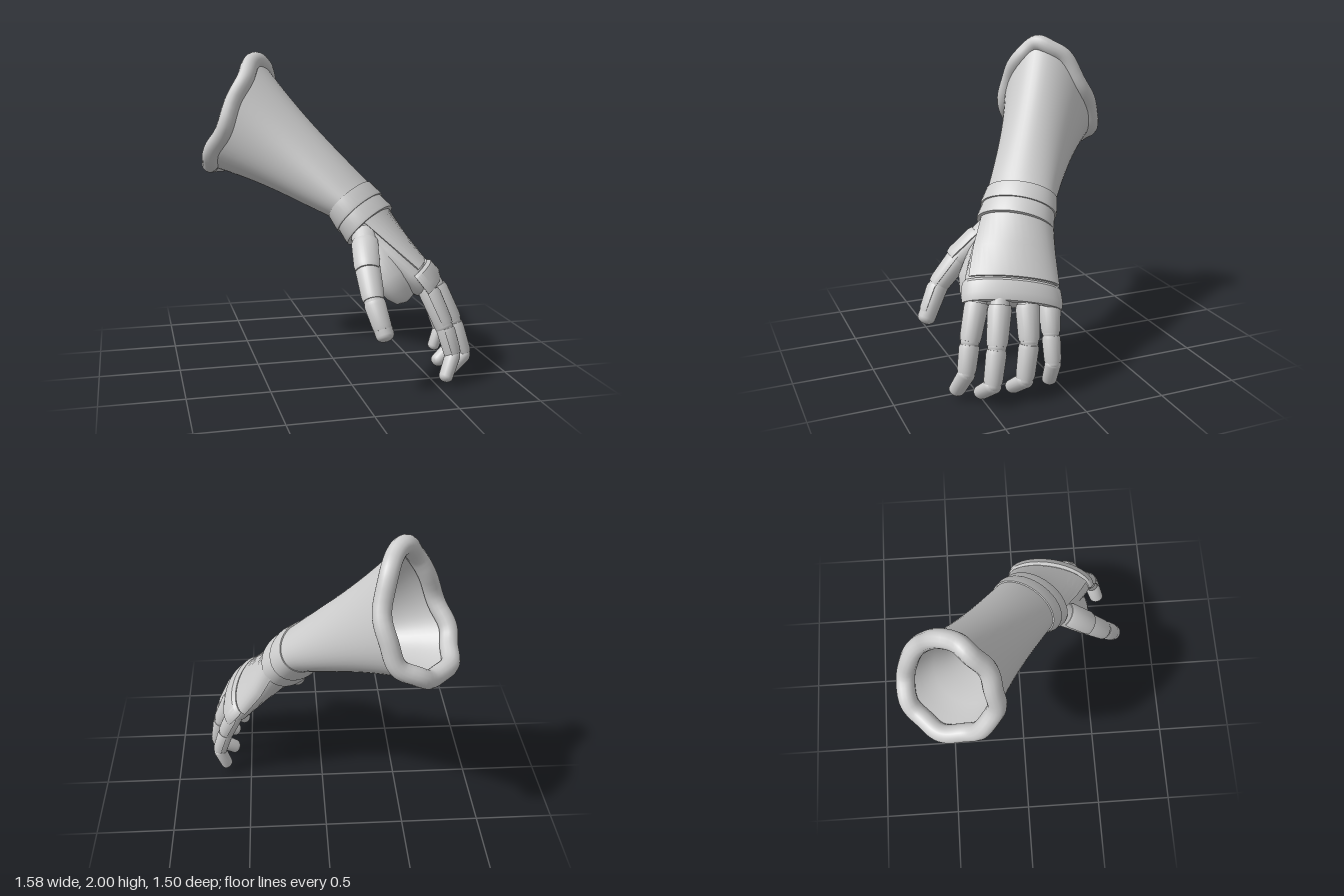
import * as THREE from 'three';
import { toCreasedNormals } from 'three/addons/utils/BufferGeometryUtils.js';

const V = (x, y, z) => new THREE.Vector3(x, y, z);
const mat = new THREE.MeshStandardMaterial({ color: 0xcccccc, side: THREE.DoubleSide });

// Skin a list of closed loops that all have the same number of points
function loft(name, loops, crease = 0.75) {
  const n = loops[0].length, pos = [], idx = [];
  loops.forEach(l => l.forEach(p => pos.push(p.x, p.y, p.z)));
  for (let i = 0; i < loops.length - 1; i++) {
    for (let j = 0; j < n; j++) {
      const a = i * n + j, b = i * n + (j + 1) % n;
      idx.push(a, b, a + n, b, b + n, a + n);
    }
  }
  let g = new THREE.BufferGeometry();
  g.setAttribute('position', new THREE.Float32BufferAttribute(pos, 3));
  g.setIndex(idx);
  g = toCreasedNormals(g, crease);
  const m = new THREE.Mesh(g, mat);
  m.name = name;
  return m;
}

// Elliptical arc around c: t = 0 points along "back", positive t turns to the thumb side
function arc(c, dir, back, a, b, t0, t1, n, closed) {
  const d = dir.clone().normalize();
  const v = back.clone().addScaledVector(d, -back.dot(d)).normalize();
  const u = d.clone().cross(v);
  return Array.from({ length: n }, (_, i) => {
    const t = t0 + (t1 - t0) * i / (closed ? n : n - 1);
    return c.clone().addScaledVector(u, a * Math.sin(t)).addScaledVector(v, b * Math.cos(t));
  });
}
const ring = (c, d, h, a, b = a, n = 32) => arc(c, d, h, a, b, 0, Math.PI * 2, n, true);

// Thick armour plate covering part of the way round; frames are [c, dir, back, a, b]
function plate(name, frames, t0, t1, th = 0.02, n = 18) {
  const outer = f => arc(...f, t0, t1, n);
  const inner = f => arc(f[0], f[1], f[2], f[3] - th, f[4] - th, t0, t1, n);
  const full = f => [...outer(f), ...inner(f).reverse()];
  const shut = f => [...inner(f), ...inner(f).reverse()];
  return loft(name, [shut(frames[0]), ...frames.map(full), shut(frames.at(-1))], 0.6);
}

// Rounded limb between two points with radii r0 and r1
function limb(name, p, q, r0, r1, back, flat = 1) {
  const d = q.clone().sub(p), len = d.length(), loops = [];
  const add = (along, r) => loops.push(ring(p.clone().addScaledVector(d, along / len), d, back, r, r * flat, 20));
  for (let i = 0; i <= 5; i++) add(-r0 * 0.7 * Math.cos(i * Math.PI / 10), r0 * Math.sin(i * Math.PI / 10));
  for (let i = 5; i >= 0; i--) add(len + r1 * 0.7 * Math.cos(i * Math.PI / 10), r1 * Math.sin(i * Math.PI / 10));
  return loft(name, loops, 1);
}

// Plate lying along a limb between two fractions of its length
function limbPlate(name, p, q, f0, f1, r0, r1, back, spread) {
  const d = q.clone().sub(p);
  const at = (f, r) => [p.clone().addScaledVector(d, f), d, back, r, r];
  const k = f1 - f0;
  return plate(name, [at(f0, r0 * 0.92), at(f0 + k * 0.12, r0), at(f0 + k * 0.88, r1), at(f1, r1 * 0.92)],
    -spread, spread, 0.016, 14);
}

export function createModel() {
  const model = new THREE.Group();
  model.name = 'gauntlet';

  // Flared cuff: drooping teardrop opening narrowing to an oval wrist
  const rimC = V(-0.54, 1.59, -0.45), rimU = V(-0.6, 0, 0.8), rimV = V(0.125, 0.355, 0.12), droop = V(0.05, -0.08, 0.04);
  const rimPoint = (t, k = 1) => rimC.clone()
    .addScaledVector(rimU, 0.3 * k * Math.sin(t) * (1 - 0.14 * Math.cos(t)))
    .addScaledVector(rimV, k * Math.cos(t))
    .addScaledVector(droop, Math.sin(t) ** 2);
  const wristC = V(0.11, 1.065, 0.032), wristD = V(0.58, -0.65, 0.47), wristH = V(0.45, 0.83, 0.34);
  const N = 48, wrist = ring(wristC, wristD, wristH, 0.222, 0.152, N);
  const cuff = [];
  for (let i = 0; i <= 14; i++) {
    const s = i / 14, mid = rimC.clone().lerp(wristC, s);
    cuff.push(wrist.map((w, j) => rimPoint(j / N * Math.PI * 2).lerp(w, s).lerp(mid, 0.075 * Math.sin(Math.PI * s))));
  }
  cuff.push(ring(wristC, wristD, wristH, 0.19, 0.13, N));
  model.add(loft('cuff', cuff));

  // Soft, uneven rolled collar round the opening
  const back = V(-0.66, 0.56, -0.5), path = [];
  for (let i = 0; i < 54; i++) {
    const t = i / 54 * Math.PI * 2;
    path.push(rimPoint(t, 0.975 + 0.012 * Math.sin(9 * t + 1)).addScaledVector(back, 0.015 + 0.01 * Math.sin(7 * t)));
  }
  const roll = new THREE.Mesh(new THREE.TubeGeometry(new THREE.CatmullRomCurve3(path, true), 140, 0.057, 14, true), mat);
  roll.name = 'collarRoll';
  model.add(roll);

  // Cloth lining funnelling down inside the cuff: depth and size of each ring
  const lining = [[0, 0.93], [0.1, 0.84], [0.2, 0.73], [0.3, 0.6], [0.42, 0.5], [0.55, 0.36], [0.56, 0]].map(([s, k]) => {
    const shift = wristC.clone().sub(rimC).multiplyScalar(s);
    return wrist.map((_, j) => rimPoint(j / N * Math.PI * 2).lerp(rimC, 1 - k).add(shift));
  });
  model.add(loft('lining', lining));

  // Overlapping wrist bands
  const bandEnd = V(0.215, 0.915, 0.12);
  for (let i = 0; i < 2; i++) {
    const at = (f, a, b) => ring(wristC.clone().lerp(bandEnd, (i + f) / 2), wristD, wristH, a, b, 40);
    const a = 0.23 + i * 0.002, b = 0.16;
    model.add(loft('wristBand', [at(-0.08, a - 0.03, b - 0.03), at(-0.08, a, b), at(0.85, a + 0.015, b + 0.012),
      at(1, a + 0.013, b + 0.01), at(1, a - 0.03, b - 0.03)], 0.5));
  }

  // Glove body from wrist to knuckles
  const handD = V(0.6, -0.75, 0.28), handH = V(0.75, 0.65, 0.14);
  const hand = [
    [V(0.1, 1.06, 0.03), wristD, wristH, 0, 0],
    [V(0.1, 1.06, 0.03), wristD, wristH, 0.2, 0.14],
    [V(0.2, 0.93, 0.1), wristD, wristH, 0.22, 0.14],
    [V(0.32, 0.78, 0.18), V(0.6, -0.7, 0.3), V(0.68, 0.7, 0.24), 0.25, 0.12],
    [V(0.45, 0.635, 0.24), handD, handH, 0.28, 0.105],
    [V(0.5, 0.56, 0.26), handD, handH, 0.28, 0.095],
    [V(0.52, 0.525, 0.265), handD, handH, 0.25, 0.06],
    [V(0.525, 0.515, 0.265), handD, handH, 0, 0]];
  model.add(loft('glove', hand.map(f => ring(...f)), 1));

  // Web of the palm between thumb and first finger
  const webD = V(0.45, -0.8, 0.3), webH = V(0.4, 0.3, 0.87);
  const web = [[0.15, 0.93, 0.18, 0.09, 0.1], [0.23, 0.77, 0.3, 0.14, 0.11], [0.29, 0.65, 0.385, 0.15, 0.095],
    [0.335, 0.56, 0.42, 0.125, 0.072], [0.36, 0.505, 0.43, 0.075, 0.045], [0.368, 0.485, 0.43, 0, 0]];
  model.add(loft('palmWeb', web.map(([x, y, z, a, b]) => ring(V(x, y, z), webD, webH, a, b)), 1));

  // Back plate and knuckle guard
  const grow = (f, k) => [f[0], f[1], f[2], f[3] + k, f[4] + k];
  model.add(plate('backPlate', hand.slice(2, 5).map(f => grow(f, 0.016)), -1.75, 1.1));
  const guard = (x, y, z, a, b) => [V(x, y, z), handD, handH, a, b];
  model.add(plate('knuckleGuard', [guard(0.458, 0.625, 0.242, 0.285, 0.12), guard(0.47, 0.61, 0.246, 0.3, 0.14),
    guard(0.515, 0.55, 0.262, 0.308, 0.146), guard(0.54, 0.517, 0.272, 0.3, 0.125)], -1.55, 1.5, 0.035, 28));

  // Four curled fingers: knuckle, middle joint, end joint, tip
  const fingers = {
    index: [V(0.475, 0.58, 0.465), V(0.565, 0.35, 0.55), V(0.61, 0.175, 0.59), V(0.555, 0.06, 0.63)],
    middle: [V(0.56, 0.58, 0.355), V(0.67, 0.34, 0.42), V(0.725, 0.13, 0.47), V(0.62, 0.048, 0.5)],
    ring: [V(0.59, 0.57, 0.195), V(0.69, 0.35, 0.225), V(0.73, 0.13, 0.27), V(0.62, 0.046, 0.3)],
    little: [V(0.575, 0.54, 0.045), V(0.655, 0.36, 0.07), V(0.71, 0.19, 0.08), V(0.67, 0.075, 0.085)]
  };
  const outward = V(0.85, 0.4, 0.1), tipOut = V(0.8, -0.6, 0.2);
  for (const [key, [a, b, c, d]] of Object.entries(fingers)) {
    const g = new THREE.Group(), r = key === 'little' ? 0.051 : 0.056;
    g.name = key + 'Finger';
    g.add(limb('lowerFinger', a, b, r * 1.05, r, outward), limb('middleFinger', b, c, r * 0.95, r * 0.86, outward),
      limb('fingertip', c, d, r * 0.98, r * 0.9, tipOut, 0.85),
      limbPlate('lowerPlate', a, b, 0.1, 0.98, r * 1.3, r * 1.16, outward, 1.75),
      limbPlate('middlePlate', b, c, 0.06, 0.95, r * 1.1, r * 1.02, outward, 1.75));
    model.add(g);
  }

  // Thumb with its fleshy base and three plates
  const th = [V(0.14, 0.88, 0.26), V(0.11, 0.71, 0.45), V(0.108, 0.555, 0.585), V(0.15, 0.365, 0.685)];
  const thumbOut = V(-0.35, 0.5, 0.8), thumb = new THREE.Group();
  thumb.name = 'thumb';
  thumb.add(limb('thumbBase', th[0], th[1], 0.085, 0.075, thumbOut),
    limb('thumbMiddle', th[1], th[2], 0.072, 0.062, thumbOut),
    limb('thumbTip', th[2], th[3], 0.062, 0.056, thumbOut),
    limbPlate('thumbBasePlate', th[0], th[1], 0.25, 1.1, 0.095, 0.092, thumbOut, 1.05),
    limbPlate('thumbMiddlePlate', th[1], th[2], -0.12, 1.05, 0.08, 0.072, thumbOut, 1.3),
    limbPlate('thumbTipPlate', th[2], th[3], 0.05, 0.85, 0.07, 0.062, thumbOut, 1.2));
  model.add(thumb);
  return model;
}
